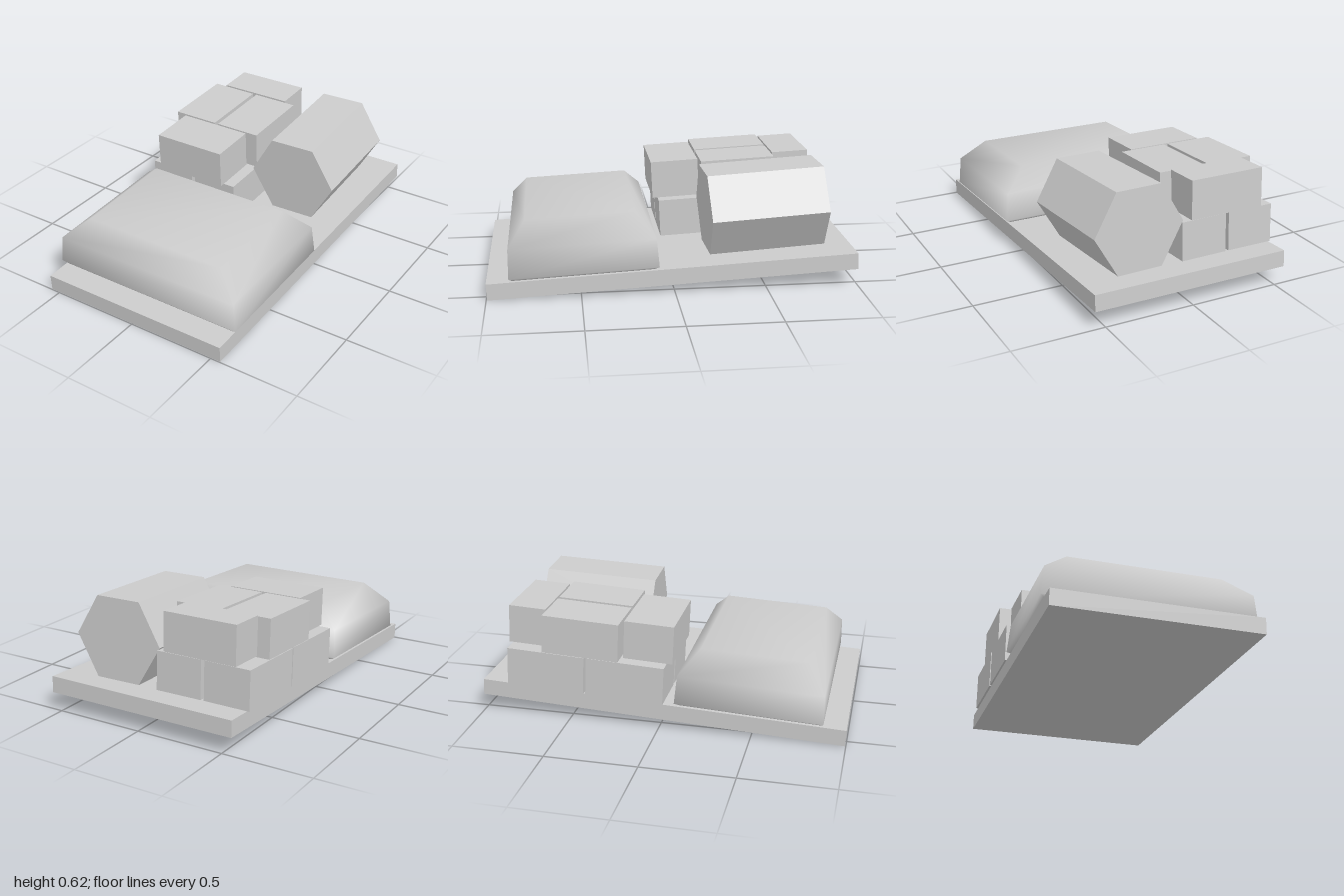
import * as THREE from 'three';

const mat = new THREE.MeshStandardMaterial({ color: 0xcccccc });
const flat = new THREE.MeshStandardMaterial({ color: 0xcccccc, flatShading: true });

const DECK = 0.09;        // slab thickness
const CRATE = 0.213;      // crate height

function crate(name, x0, x1, z0, z1, layer, yaw = 0, lift = 0) {
  const mesh = new THREE.Mesh(new THREE.BoxGeometry(x1 - x0, CRATE, z1 - z0), mat);
  mesh.name = name;
  mesh.position.set((x0 + x1) / 2, DECK + (layer + 0.5) * CRATE + lift, (z0 + z1) / 2);
  mesh.rotation.y = yaw;
  return mesh;
}

// Closed solid from stacked rectangular rings, sharing vertices for soft shading
function softBlock(rings) {
  const pos = [], idx = [];
  for (const [w, y, zb, zf] of rings) pos.push(-w, y, zf, w, y, zf, w, y, zb, -w, y, zb);
  for (let r = 0; r < rings.length - 1; r++) {
    for (let i = 0; i < 4; i++) {
      const a = r * 4 + i, b = r * 4 + (i + 1) % 4;
      idx.push(a, b, b + 4, a, b + 4, a + 4);
    }
  }
  const t = (rings.length - 1) * 4;
  idx.push(0, 2, 1, 0, 3, 2, t, t + 1, t + 2, t, t + 2, t + 3);
  const geo = new THREE.BufferGeometry();
  geo.setAttribute('position', new THREE.Float32BufferAttribute(pos, 3));
  geo.setIndex(idx);
  geo.computeVertexNormals();
  return geo;
}

export function createModel() {
  const model = new THREE.Group();
  model.name = 'loadedSlab';

  // Everything rests on a gently tilted slab
  const tilted = new THREE.Group();
  tilted.name = 'tiltedAssembly';
  tilted.rotation.x = 0.0475;
  tilted.position.y = 0.0475;
  model.add(tilted);

  const slab = new THREE.Mesh(new THREE.BoxGeometry(1.11, DECK, 1.996), mat);
  slab.name = 'baseSlab';
  slab.position.set(0, DECK / 2, -0.002);
  tilted.add(slab);

  // Cushioned bundle at the front: half width, height, back z, front z
  const bundle = new THREE.Mesh(softBlock([
    [0.54, 0.003, 0.105, 0.86],
    [0.57, 0.022, 0.08, 0.875],
    [0.555, 0.178, 0.087, 0.867],
    [0.42, 0.295, 0.182, 0.772],
  ]), mat);
  bundle.name = 'softBundle';
  bundle.position.y = DECK;
  tilted.add(bundle);

  // Six-sided drum lying along the slab
  const drumGeo = new THREE.CylinderGeometry(0.257, 0.257, 0.645, 6);
  drumGeo.rotateY(Math.PI / 6).rotateX(Math.PI / 2);
  drumGeo.computeBoundingBox();
  // Lay the drum on a flat side
  const size = drumGeo.boundingBox.getSize(new THREE.Vector3());
  if (size.y > size.x) drumGeo.rotateZ(Math.PI / 6);
  const drum = new THREE.Mesh(drumGeo, flat);
  drum.name = 'hexagonalDrum';
  drum.position.set(0.24, DECK + 0.2226, -0.535);
  drum.rotation.y = 0.035;
  tilted.add(drum);

  // Stacked crates: four below, four above
  const crates = new THREE.Group();
  crates.name = 'crateStack';
  crates.add(
    crate('lowerFrontRightCrate', -0.565, -0.295, -0.412, 0.016, 0),
    crate('lowerFrontLeftCrate', -0.272, -0.002, -0.412, 0.016, 0),
    crate('lowerBackRightCrate', -0.567, -0.302, -0.854, -0.424, 0),
    crate('lowerBackLeftCrate', -0.28, -0.015, -0.857, -0.426, 0, 0.015),
    crate('upperMiddleRightCrate', -0.562, -0.294, -0.66, -0.238, 1),
    crate('upperMiddleLeftCrate', -0.27, -0.003, -0.66, -0.238, 1),
    crate('upperFrontCrate', -0.495, -0.068, -0.225, 0.046, 1, 0.005),
    crate('upperBackCrate', -0.492, -0.067, -0.87, -0.664, 1, 0.005, 0.007),
  );
  tilted.add(crates);

  return model;
}
